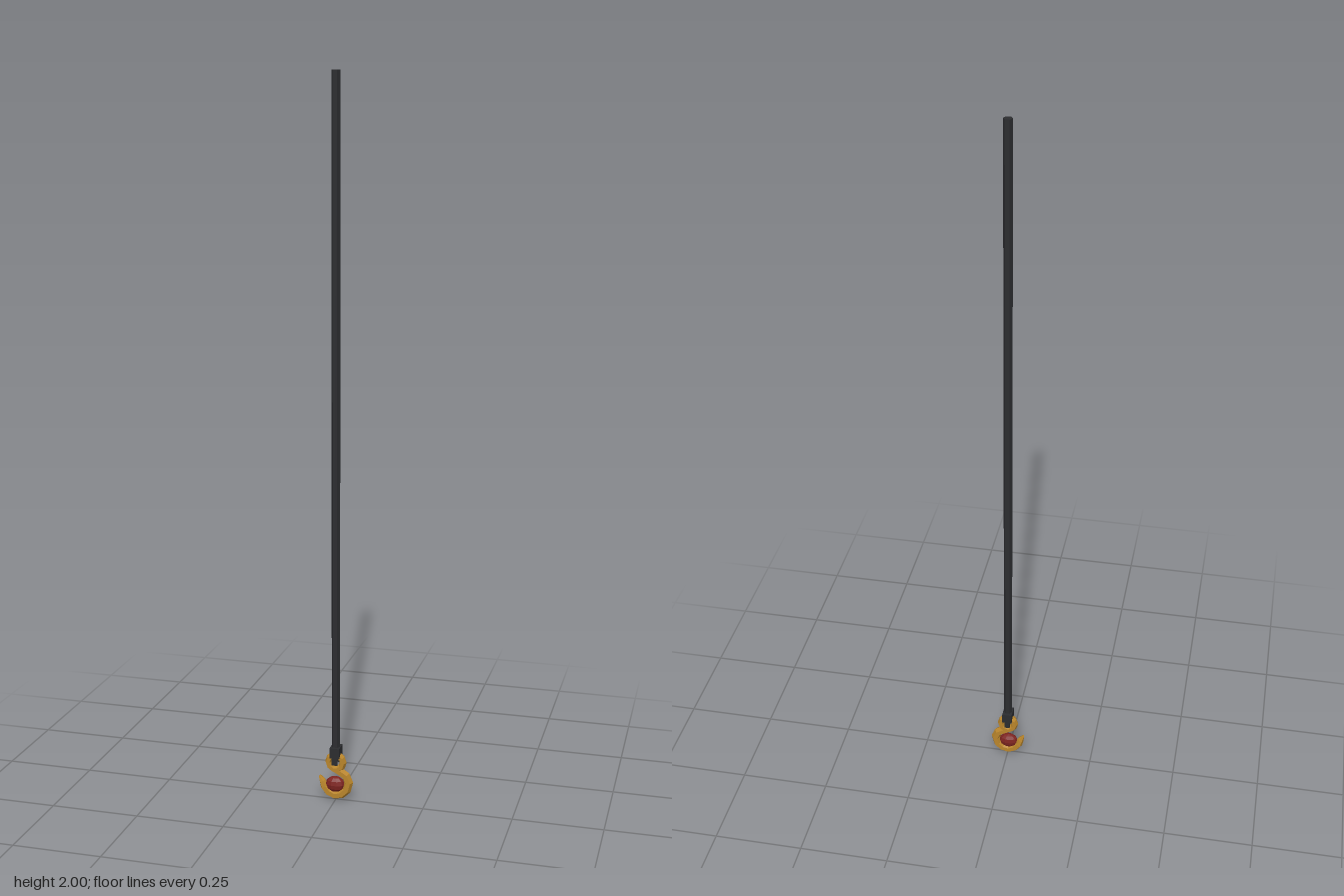
import * as THREE from 'three';

const paint = (color) => new THREE.MeshStandardMaterial({ color, flatShading: true, side: THREE.DoubleSide });

// Sweep a six-sided section along points [x, y, halfWidth, halfDepth] in the XY plane
function sweep(points, closed) {
  const n = points.length, positions = [], index = [];
  points.forEach(([x, y, w, d], i) => {
    const a = points[closed ? (i + n - 1) % n : Math.max(i - 1, 0)];
    const b = points[closed ? (i + 1) % n : Math.min(i + 1, n - 1)];
    const length = Math.hypot(b[0] - a[0], b[1] - a[1]);
    const nx = -(b[1] - a[1]) / length, ny = (b[0] - a[0]) / length;
    for (const [u, v] of [[1, 0], [0.5, 1], [-0.5, 1], [-1, 0], [-0.5, -1], [0.5, -1]]) {
      positions.push(x + nx * w * u, y + ny * w * u, d * v);
    }
  });
  for (let i = 0; i < (closed ? n : n - 1); i++) {
    for (let j = 0; j < 6; j++) {
      const a = i * 6 + j, b = i * 6 + (j + 1) % 6;
      const c = ((i + 1) % n) * 6 + j, d = ((i + 1) % n) * 6 + (j + 1) % 6;
      index.push(a, b, c, b, d, c);
    }
  }
  // End caps
  if (!closed) {
    const e = (n - 1) * 6;
    for (let j = 1; j < 5; j++) index.push(0, j + 1, j, e, e + j, e + j + 1);
  }
  const geometry = new THREE.BufferGeometry();
  geometry.setAttribute('position', new THREE.Float32BufferAttribute(positions, 3));
  geometry.setIndex(index);
  geometry.computeVertexNormals();
  return geometry;
}

export function createModel() {
  const model = new THREE.Group();
  const dark = paint(0x2b2c2f), yellow = paint(0xb9852b), red = paint(0x7d2420);
  const add = (name, geometry, material, x, y, z) => {
    const mesh = new THREE.Mesh(geometry, material);
    mesh.name = name;
    mesh.position.set(x, y, z);
    model.add(mesh);
    return mesh;
  };

  // Long hexagonal cable
  add('cable', new THREE.CylinderGeometry(0.012, 0.012, 1.86, 6).rotateY(Math.PI / 6), dark, 0, 1.07, 0);

  // Clamp gripping the top of the eye
  add('clamp', new THREE.BoxGeometry(0.028, 0.03, 0.038), dark, 0, 0.143, 0);
  for (const side of [-1, 1]) {
    add('clampCheek', new THREE.BoxGeometry(0.016, 0.03, 0.005), dark, 0, 0.122, side * 0.0145);
  }

  // Eye ring
  const ring = [];
  for (let i = 0; i < 10; i++) {
    const t = i / 10 * Math.PI * 2;
    ring.push([0.021 * Math.cos(t), 0.112 + 0.021 * Math.sin(t), 0.01, 0.012]);
  }
  add('eye', sweep(ring, true), yellow, 0, 0, 0);

  // Curved hook, open on its right side
  add('hook', sweep([
    [-0.006, 0.092, 0.01, 0.011], [0.012, 0.084, 0.012, 0.012], [0.029, 0.073, 0.013, 0.012],
    [0.037, 0.054, 0.013, 0.012], [0.031, 0.031, 0.013, 0.012], [0.016, 0.017, 0.013, 0.012],
    [-0.003, 0.013, 0.013, 0.012], [-0.021, 0.021, 0.013, 0.012], [-0.033, 0.036, 0.012, 0.012],
    [-0.039, 0.052, 0.009, 0.01], [-0.047, 0.065, 0.003, 0.006],
  ], false), yellow, 0, 0, 0);

  // Red lens-shaped boss inside the hook
  add('boss', new THREE.SphereGeometry(1, 10, 6).scale(0.028, 0.023, 0.017), red, -0.002, 0.045, 0);
  return model;
}
